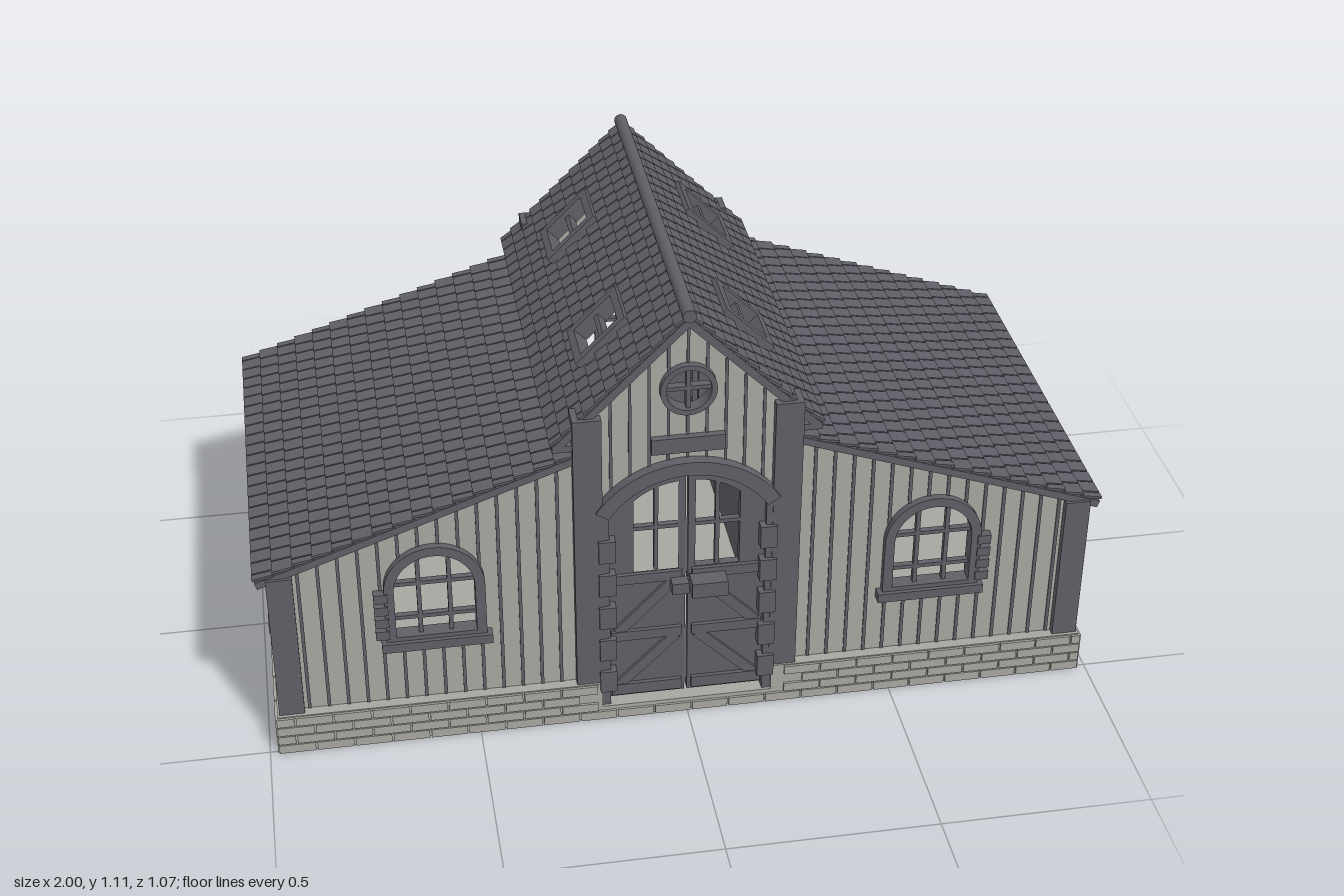
import * as THREE from 'three';
import { mergeGeometries } from 'three/addons/utils/BufferGeometryUtils.js';

const stone = new THREE.MeshStandardMaterial({ color: 0xa8a69f });
stone.name = 'pale boards and stone';
const slate = new THREE.MeshStandardMaterial({ color: 0x605f67 });
slate.name = 'slate grey';

function add(parent, name, geo, mat) {
  const m = new THREE.Mesh(geo, mat);
  m.name = name;
  parent.add(m);
  return m;
}

// Box given by its limits
function span(x0, x1, y0, y1, z0, z1) {
  return new THREE.BoxGeometry(x1 - x0, y1 - y0, z1 - z0)
    .translate((x0 + x1) / 2, (y0 + y1) / 2, (z0 + z1) / 2);
}

// Bar between two points in the facade plane
function bar(ax, ay, bx, by, w, z0, z1) {
  return new THREE.BoxGeometry(Math.hypot(bx - ax, by - ay), w, z1 - z0)
    .rotateZ(Math.atan2(by - ay, bx - ax))
    .translate((ax + bx) / 2, (ay + by) / 2, (z0 + z1) / 2);
}

function extrude(shape, z0, z1) {
  return new THREE.ExtrudeGeometry(shape, { depth: z1 - z0, bevelEnabled: false, curveSegments: 16 })
    .translate(0, 0, z0);
}

// Round-headed outline
function arch(cx, hw, y0, spring, rise, Type = THREE.Shape) {
  const s = new Type();
  s.moveTo(cx - hw, y0);
  s.lineTo(cx + hw, y0);
  s.lineTo(cx + hw, spring);
  s.absellipse(cx, spring, hw, rise, 0, Math.PI, false);
  s.lineTo(cx - hw, y0);
  return s;
}

function circle(x, y, r, Type = THREE.Shape) {
  const s = new Type();
  s.absarc(x, y, r, 0, Math.PI * 2, false);
  return s;
}

// Vertical batten, interrupted where it crosses an opening
function batten(list, x, y0, y1, z, w, cut) {
  const parts = cut ? [[y0, cut[0]], [cut[1], y1]] : [[y0, y1]];
  for (const [a, b] of parts) if (b > a) list.push(span(x - w / 2, x + w / 2, a, b, z, z + 0.003));
}
function windowCut(x, cx, hw, y0, spring, rise) {
  const t = (x - cx) / hw;
  return Math.abs(t) < 1 ? [y0, spring + rise * Math.sqrt(1 - t * t)] : null;
}

// Arched window: frame, mullions and sill
function archedWindow(parent, cx, hw, y0, spring, z, rails) {
  const frame = arch(cx, hw, y0, spring, hw);
  const t = hw * 0.2, iw = hw - t, top = spring + iw;
  frame.holes.push(arch(cx, iw, y0 + t, spring, iw, THREE.Path));
  add(parent, 'windowFrame', extrude(frame, z - 0.02, z + 0.018), slate);
  const bars = [];
  for (const f of [-0.38, 0.38]) {
    bars.push(span(cx + f * iw - 0.005, cx + f * iw + 0.005, y0 + t, top - iw * 0.08, z - 0.01, z + 0.005));
  }
  for (const y of rails) bars.push(span(cx - iw, cx + iw, y - 0.005, y + 0.005, z - 0.01, z + 0.005));
  bars.push(span(cx - hw - 0.012, cx + hw + 0.012, y0 - 0.012, y0 + 0.012, z - 0.01, z + 0.028));
  add(parent, 'windowBars', mergeGeometries(bars), slate);
}

// Roof plane: local x runs down the slope, skylights are openings at given z
function roofPlane(name, top, eave, rows, halfDepth, skylights, u0, u1) {
  const g = new THREE.Group();
  g.name = name;
  const dx = eave[0] - top[0], dy = top[1] - eave[1], len = Math.hypot(dx, dy);
  const deck = new THREE.Shape();
  deck.moveTo(0, -halfDepth);
  deck.lineTo(len, -halfDepth);
  deck.lineTo(len, halfDepth);
  deck.lineTo(0, halfDepth);
  const hw = 0.054;
  for (const c of skylights) {
    const h = new THREE.Path();
    h.moveTo(u0, c - hw);
    h.lineTo(u0, c + hw);
    h.lineTo(u1, c + hw);
    h.lineTo(u1, c - hw);
    deck.holes.push(h);
  }
  add(g, 'roofDeck', extrude(deck, -0.018, 0).rotateX(-Math.PI / 2), slate);
  const tiles = [], pitch = len / rows, count = 22, w = 2 * halfDepth / count;
  for (let r = 0; r < rows; r++) {
    for (let i = 0; i <= count; i++) {
      const a = Math.max(-halfDepth, -halfDepth + (i - (r % 2) / 2) * w);
      const b = Math.min(halfDepth, -halfDepth + (i + 1 - (r % 2) / 2) * w);
      if (b - a < 0.01) continue;
      const u = (r + 0.5) * pitch;
      const blocked = skylights.some(c => u + pitch / 2 > u0 && u - pitch / 2 < u1 && b > c - hw && a < c + hw);
      if (blocked) continue;
      tiles.push(new THREE.BoxGeometry(pitch * 1.08, 0.006, b - a - 0.004)
        .rotateZ(0.16).translate(u, 0.004, (a + b) / 2));
    }
  }
  add(g, 'roofTiles', mergeGeometries(tiles), slate);
  for (const c of skylights) {
    const f = 0.02, m = (u0 + u1) / 2;
    add(g, 'skylightFrame', mergeGeometries([
      span(u0 - f, u0, -0.02, 0.022, c - hw - f, c + hw + f), span(u1, u1 + f, -0.02, 0.022, c - hw - f, c + hw + f),
      span(u0, u1, -0.02, 0.022, c - hw - f, c - hw), span(u0, u1, -0.02, 0.022, c + hw, c + hw + f),
      span(m - 0.006, m + 0.006, -0.015, 0.01, c - hw, c + hw),
    ]), slate);
  }
  g.position.set(top[0], top[1], 0);
  g.rotation.z = -Math.atan2(dy, dx);
  return g;
}

function facade() {
  const g = new THREE.Group();
  g.name = 'gableFront';
  // Boarded wall with door, arched window and round window openings
  const a = Math.atan2(0.127, 0.2);
  const s = new THREE.Shape();
  s.moveTo(-0.95, 0.1);
  s.lineTo(-0.2, 0.1);
  s.lineTo(-0.2, 0.59);
  s.absarc(0, 0.463, 0.237, Math.PI - a, a, true);
  for (const [x, y] of [[0.2, 0.1], [0.95, 0.1], [0.95, 0.49], [0.265, 0.735], [0.265, 0.81], [0, 1.075],
    [-0.265, 0.81], [-0.265, 0.735], [-0.95, 0.49]]) s.lineTo(x, y);
  for (const c of [-0.59, 0.59]) s.holes.push(arch(c, 0.1, 0.28, 0.43, 0.1, THREE.Path));
  s.holes.push(circle(0, 0.905, 0.055, THREE.Path));
  add(g, 'frontWall', extrude(s, 0.462, 0.478), stone);

  const lines = [];
  for (let x = 0.3; x < 0.9; x += 0.046) {
    const top = 0.73 - (x - 0.265) * 0.357;
    for (const k of [-1, 1]) batten(lines, k * x, 0.105, top, 0.478, 0.008, windowCut(x, 0.59, 0.115, 0.27, 0.43, 0.115));
  }
  for (let i = -4; i <= 4; i++) {
    const x = i * 0.044;
    const door = 0.463 + Math.sqrt(0.237 ** 2 - x * x);
    const r = Math.abs(x) < 0.062 ? Math.sqrt(0.062 ** 2 - x * x) : 0;
    batten(lines, x, door, 1.06 - Math.abs(x), 0.478, 0.007, r ? [0.905 - r, 0.905 + r] : null);
  }
  add(g, 'wallBattens', mergeGeometries(lines), slate);

  const posts = [];
  for (const k of [-1, 1]) {
    posts.push(span(k * 0.232 - 0.033, k * 0.232 + 0.033, 0.1, 0.85, 0.44, 0.5));
    posts.push(span(k * 0.94 - 0.03, k * 0.94 + 0.03, 0.1, 0.495, 0.44, 0.497));
    posts.push(bar(k * 0.25, 0.775, k * 0.31, 0.775, 0.016, 0.44, 0.49));
    posts.push(bar(k * 0.27, 0.735, k * 0.95, 0.492, 0.016, 0.462, 0.486));
  }
  add(g, 'timberPosts', mergeGeometries(posts), slate);

  for (const k of [-1, 1]) {
    archedWindow(g, k * 0.59, 0.117, 0.275, 0.428, 0.478, [0.345, 0.44]);
    // Hinge blocks at the outer edge of the window
    const blocks = [0.31, 0.345, 0.38, 0.415].map(y => span(k * 0.715 - 0.016, k * 0.715 + 0.016, y - 0.012, y + 0.012, 0.478, 0.5));
    add(g, 'windowHinges', mergeGeometries(blocks), slate);
  }

  // Round window and plain board above the door
  const ring = circle(0, 0.905, 0.065);
  ring.holes.push(circle(0, 0.905, 0.052, THREE.Path));
  add(g, 'roundWindowFrame', extrude(ring, 0.46, 0.495), slate);
  add(g, 'roundWindowBars', mergeGeometries([
    span(-0.005, 0.005, 0.85, 0.96, 0.465, 0.485), span(-0.055, 0.055, 0.9, 0.91, 0.465, 0.485)]), slate);
  add(g, 'nameBoard', span(-0.085, 0.085, 0.74, 0.78, 0.478, 0.495), slate);
  g.add(door());
  return g;
}

function door() {
  const g = new THREE.Group();
  g.name = 'doubleDoor';
  // Arched surround
  const a = Math.atan2(0.127, 0.2);
  const band = new THREE.Shape();
  band.absarc(0, 0.463, 0.255, a, Math.PI - a, false);
  band.absarc(0, 0.463, 0.22, Math.PI - a, a, true);
  add(g, 'doorArch', extrude(band, 0.455, 0.505), slate);
  const jamb = [];
  for (const k of [-1, 1]) {
    jamb.push(span(k * 0.196 - 0.012, k * 0.196 + 0.012, 0.035, 0.61, 0.455, 0.498));
    for (let i = 0; i < 5; i++) {
      const y = 0.08 + i * 0.095;
      jamb.push(span(k * 0.19 - 0.02, k * 0.19 + 0.02, y, y + 0.06, 0.46, 0.508));
    }
  }
  add(g, 'doorJambs', mergeGeometries(jamb), slate);
  for (const k of [-1, 1]) {
    // Leaf with an open upper light
    const leaf = new THREE.Shape();
    leaf.moveTo(k * 0.003, 0.045);
    leaf.lineTo(k * 0.19, 0.045);
    leaf.lineTo(k * 0.19, 0.595);
    leaf.quadraticCurveTo(k * 0.12, 0.685, k * 0.003, 0.69);
    const light = new THREE.Path();
    light.moveTo(k * 0.02, 0.41);
    light.lineTo(k * 0.125, 0.41);
    light.lineTo(k * 0.125, 0.61);
    light.quadraticCurveTo(k * 0.08, 0.65, k * 0.02, 0.655);
    leaf.holes.push(light);
    add(g, 'doorLeaf', extrude(leaf, 0.462, 0.482), slate);
    const trim = [
      span(k * 0.072 - 0.005, k * 0.072 + 0.005, 0.41, 0.65, 0.465, 0.48),
      bar(k * 0.02, 0.53, k * 0.125, 0.53, 0.01, 0.465, 0.48),
      bar(k * 0.012, 0.395, k * 0.18, 0.395, 0.026, 0.482, 0.492),
      bar(k * 0.012, 0.23, k * 0.18, 0.23, 0.026, 0.482, 0.492),
      bar(k * 0.012, 0.07, k * 0.18, 0.07, 0.03, 0.482, 0.492),
      bar(k * 0.165, 0.08, k * 0.025, 0.22, 0.026, 0.482, 0.49),
      bar(k * 0.165, 0.24, k * 0.025, 0.385, 0.026, 0.482, 0.49),
    ];
    add(g, 'doorBraces', mergeGeometries(trim), slate);
  }
  add(g, 'doorLatch', mergeGeometries([
    span(0.005, 0.09, 0.355, 0.395, 0.49, 0.535), span(-0.04, 0.0, 0.36, 0.39, 0.49, 0.52)]), slate);
  return g;
}

// Side wall, drawn facing +z and then turned to face +x
function sideWall() {
  const g = new THREE.Group();
  g.name = 'sideWall';
  const s = new THREE.Shape();
  [[-0.465, 0.1], [0.465, 0.1], [0.465, 0.49], [-0.465, 0.49]].forEach(([x, y], i) => i ? s.lineTo(x, y) : s.moveTo(x, y));
  for (const c of [-0.235, 0.235]) s.holes.push(arch(c, 0.075, 0.24, 0.36, 0.075, THREE.Path));
  add(g, 'sideBoards', extrude(s, 0.935, 0.95), stone);
  const lines = [];
  for (let x = 0.07; x < 0.43; x += 0.04) {
    for (const k of [-1, 1]) batten(lines, k * x, 0.105, 0.485, 0.95, 0.008, windowCut(x, 0.235, 0.088, 0.23, 0.36, 0.088));
  }
  add(g, 'sideBattens', mergeGeometries(lines), slate);
  add(g, 'sidePost', span(-0.03, 0.03, 0.1, 0.49, 0.93, 0.968), slate);
  for (const c of [-0.235, 0.235]) archedWindow(g, c, 0.088, 0.235, 0.36, 0.95, [0.32]);
  g.rotation.y = Math.PI / 2;
  return g;
}

function foundation() {
  const g = new THREE.Group();
  g.name = 'stoneBase';
  add(g, 'floorSlab', span(-0.975, 0.975, 0, 0.035, -0.505, 0.505), stone);
  const walls = [], bricks = [];
  for (const k of [-1, 1]) {
    walls.push(span(k * 0.945 - 0.03, k * 0.945 + 0.03, 0.03, 0.105, -0.505, 0.505));
    for (const j of [-1, 1]) walls.push(span(k * 0.59 - 0.385, k * 0.59 + 0.385, 0.03, 0.105, j * 0.475 - 0.03, j * 0.475 + 0.03));
  }
  // Staggered courses of bricks in shallow relief
  for (let r = 0; r < 4; r++) {
    const y0 = r * 0.026 + 0.001, y1 = y0 + 0.023;
    const course = (half, put) => {
      for (let p = -half - (r % 2) * 0.045; p < half; p += 0.09) {
        const a = Math.max(p, -half), b = Math.min(p + 0.086, half);
        if (b - a > 0.01) put(a, b);
      }
    };
    for (const k of [-1, 1]) {
      course(0.978, (a, b) => {
        if (r > 0 && b > -0.205 && a < 0.205) return;
        bricks.push(span(a, b, y0, y1, k * 0.505 - 0.006, k * 0.505 + 0.006));
      });
      course(0.508, (a, b) => bricks.push(span(k * 0.975 - 0.006, k * 0.975 + 0.006, y0, y1, a, b)));
    }
  }
  add(g, 'baseWalls', mergeGeometries(walls), stone);
  add(g, 'baseBricks', mergeGeometries(bricks), stone);
  return g;
}

export function createModel() {
  const model = new THREE.Group();
  model.name = 'barn';
  const half = new THREE.Group();
  half.name = 'barnHalf';
  half.add(facade(), sideWall());
  half.add(roofPlane('lowerRoof', [0.255, 0.752], [0.995, 0.488], 16, 0.49, [], 0, 0));
  half.add(roofPlane('upperRoof', [0, 1.09], [0.308, 0.782], 12, 0.49, [-0.245, 0.245], 0.165, 0.285));

  // Open strip between the two roofs, and the low inner partition
  const frame = [span(0.235, 0.265, 0.72, 0.752, -0.46, 0.46), span(0.225, 0.235, 0.035, 0.32, -0.46, 0.46)];
  for (const z of [-0.235, 0, 0.235]) {
    const w = z ? 0.06 : 0.025;
    frame.push(span(0.235, 0.262, 0.74, 0.84, z - w, z + w));
  }
  add(half, 'innerFrame', mergeGeometries(frame), slate);
  const panels = [-0.42, -0.06, 0.06, 0.42].map(z => span(0.24, 0.258, 0.74, 0.83, z - 0.035, z + 0.035));
  add(half, 'upperPanels', mergeGeometries(panels), stone);

  const other = half.clone();
  other.rotation.y = Math.PI;
  model.add(half, other, foundation());
  add(model, 'ridgeCap', new THREE.CylinderGeometry(0.016, 0.016, 0.99, 12).rotateX(Math.PI / 2).translate(0, 1.095, 0), slate);
  return model;
}
